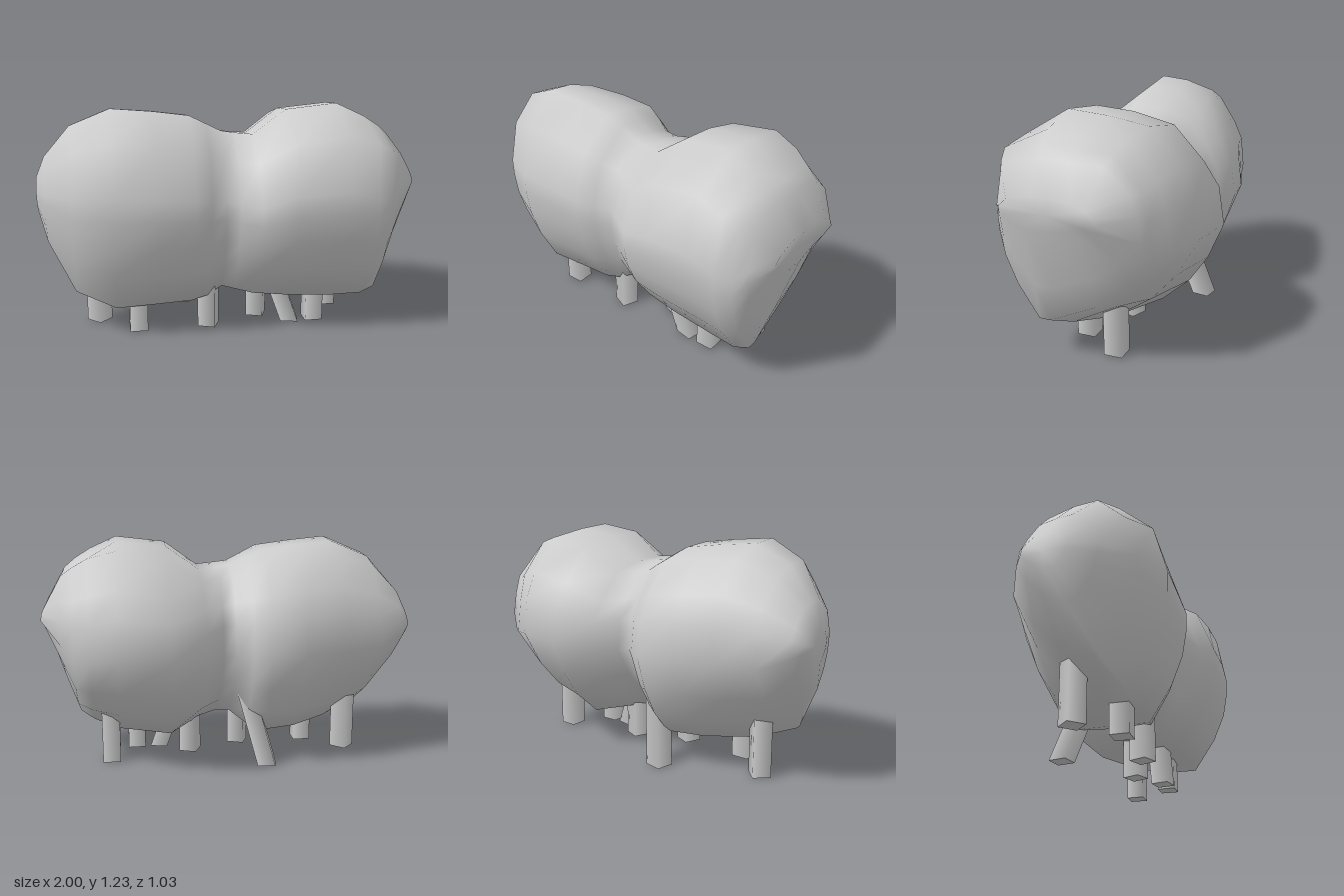
import * as THREE from 'three';

const material = new THREE.MeshStandardMaterial({ color: 0xcccccc });

// Cross-section in (z, y), each from -1 to 1, running over the top to the front and round;
// heel is where the flat underside ends and the back starts to slope up,
// shoulder pushes the upper corners outward
function profile(heel, shoulder = 0) {
  const flank = -0.85 + (heel + 0.38) * 0.25;
  const s = 1 + shoulder;
  return [
    [0.36, 1], [0.82 * s, 0.7 * s], [1, 0.2], [0.99, -0.02], [0.93, -0.3], [0.78, -0.62], [0.5, -1],
    [heel, -1], [heel + (flank - heel) * 0.6, -0.74], [flank, -0.45], [-1, -0.08],
    [-0.94, 0.3], [-0.78 * s, 0.54 * s], [-0.47 * s, 0.87 * s], [-0.04, 0.97],
  ];
}

// Stations along the body: x, bottom y, top y, back z, front z, heel, shoulder
const stations = [
  [-1.0, 0.66, 0.84, -0.18, 0.05, 0],
  [-0.95, 0.5, 0.96, -0.22, 0.18, 0.2],
  [-0.81, 0.24, 1.13, -0.29, 0.33, 0.4],
  [-0.6, 0.155, 1.22, -0.34, 0.43, 0.12],
  [-0.38, 0.16, 1.2, -0.4, 0.435, -0.25],
  [-0.19, 0.17, 1.175, -0.415, 0.44, -0.42],
  [-0.1, 0.19, 1.13, -0.36, 0.4, -0.3],
  [-0.02, 0.235, 1.09, -0.29, 0.36, -0.05],
  [0.05, 0.22, 1.08, -0.3, 0.39, 0.1],
  [0.15, 0.195, 1.07, -0.42, 0.45, 0.1],
  [0.33, 0.18, 1.2, -0.515, 0.505, -0.36],
  [0.6, 0.17, 1.23, -0.48, 0.515, -0.1, 0.04],
  [0.75, 0.18, 1.16, -0.4, 0.515, 0.15, 0.1],
  [0.83, 0.21, 1.11, -0.345, 0.48, 0.35, 0.1],
  [0.89, 0.42, 1.06, -0.31, 0.44, 0.25, 0.1],
  [0.98, 0.74, 0.9, -0.14, 0.37, 0],
];

function createBody() {
  const n = profile(0).length;
  const positions = [];
  const indices = [];
  for (const [x, bottom, top, back, front, heel, shoulder] of stations) {
    for (const [pz, py] of profile(heel, shoulder)) {
      const z = (front + back) / 2 + pz * (front - back) / 2;
      // The far end slants outward toward the back
      const slant = x > 0.95 ? Math.max(0, -z) * 0.143 : 0;
      positions.push(x + slant, (top + bottom) / 2 + py * (top - bottom) / 2, z);
    }
  }
  for (let i = 0; i < stations.length - 1; i++) {
    for (let j = 0; j < n; j++) {
      const a = i * n + j, b = i * n + (j + 1) % n;
      indices.push(a, b, a + n, b, b + n, a + n);
    }
  }
  // End caps: one nearly flat, the other slightly hollow
  const leftPole = positions.length / 3;
  positions.push(-1.0, 0.75, -0.07, 0.955, 0.81, 0.13);
  const last = (stations.length - 1) * n;
  for (let j = 0; j < n; j++) {
    const k = (j + 1) % n;
    indices.push(leftPole, k, j, leftPole + 1, last + j, last + k);
  }
  const geometry = new THREE.BufferGeometry();
  geometry.setAttribute('position', new THREE.Float32BufferAttribute(positions, 3));
  geometry.setIndex(indices);
  geometry.computeVertexNormals();
  const body = new THREE.Mesh(geometry, material);
  body.name = 'body';
  return body;
}

// Four-sided post from the ground into the body, sheared by a lean per unit of height
function createLeg(x, z, turn, leanX = 0, leanZ = 0) {
  const height = 0.42;
  const geometry = new THREE.CylinderGeometry(0.069, 0.069, height, 4);
  geometry.rotateY(turn);
  geometry.translate(0, height / 2, 0);
  const p = geometry.attributes.position;
  for (let i = 0; i < p.count; i++) {
    p.setX(i, p.getX(i) + leanX * p.getY(i));
    p.setZ(i, p.getZ(i) + leanZ * p.getY(i));
  }
  const leg = new THREE.Mesh(geometry, material);
  leg.position.set(x, 0, z);
  leg.name = 'leg';
  return leg;
}

export function createModel() {
  const model = new THREE.Group();
  model.name = 'twoLobedBody';
  model.add(createBody());

  // Legs: x, z, turn, lean
  const legs = [
    [-0.69, -0.015, 0],
    [-0.48, 0.16, Math.PI / 4],
    [-0.195, -0.245, 0.6, 0.25, 0.28],
    [-0.09, 0.16, 0.4],
    [0.205, 0.045, 0.4],
    [0.375, 0.16, 0.6, -0.36, 0],
    [0.51, 0.16, Math.PI / 4],
    [0.655, -0.065, Math.PI / 4],
  ];
  const legGroup = new THREE.Group();
  legGroup.name = 'legs';
  for (const leg of legs) legGroup.add(createLeg(...leg));
  model.add(legGroup);
  return model;
}
